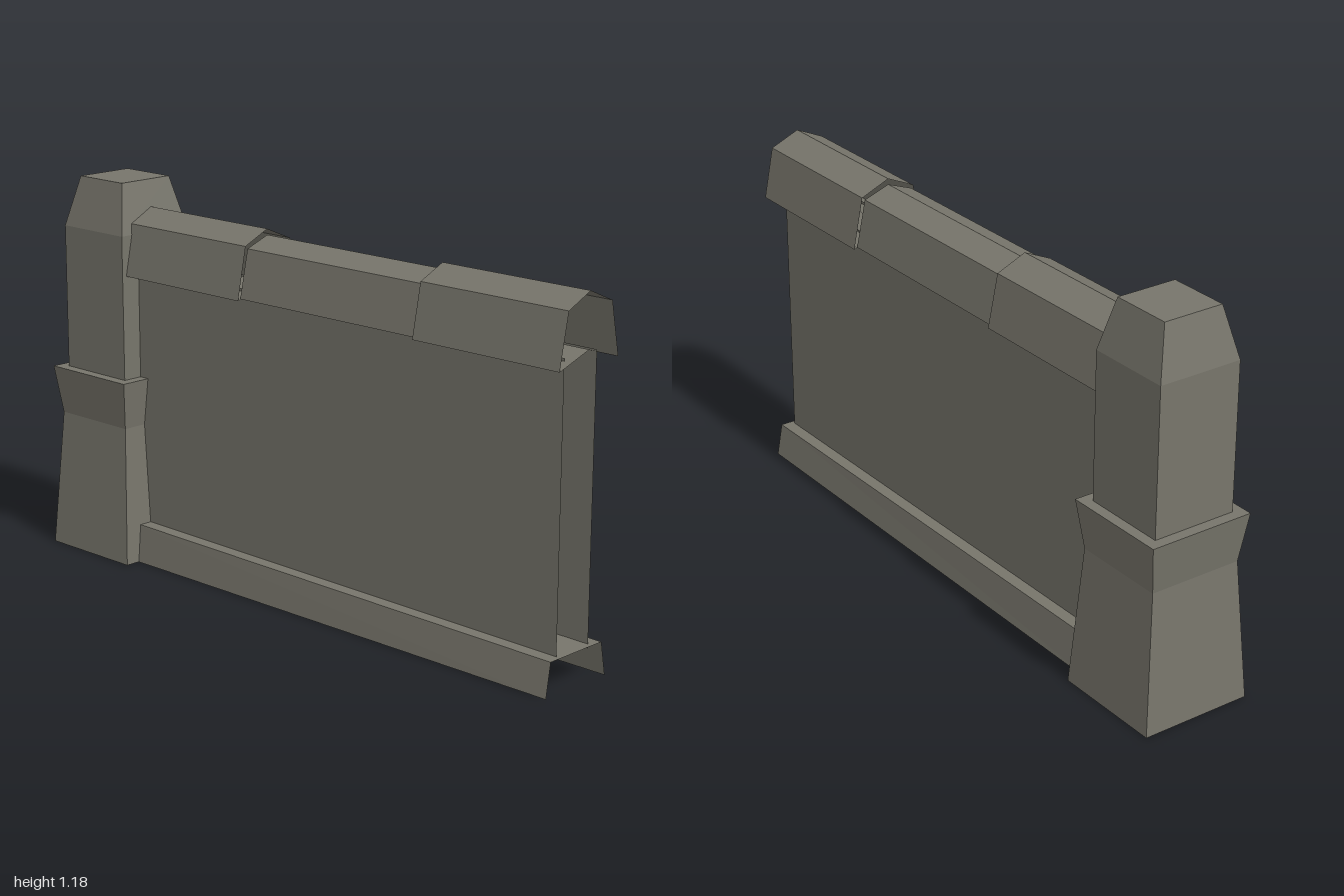
import * as THREE from 'three';

const stone = new THREE.MeshStandardMaterial({ color: 0x77756b, side: THREE.DoubleSide });
stone.name = 'grey stone';

// Joins cross-sections (lists of [x, y, z]) with quads; closed wraps each section round.
function loft(name, sections, closed, capLast = false) {
  const pos = [];
  const quad = (a, b, c, d) => pos.push(...a, ...b, ...c, ...a, ...c, ...d);
  for (let s = 0; s < sections.length - 1; s++) {
    const A = sections[s], B = sections[s + 1];
    const n = closed ? A.length : A.length - 1;
    for (let i = 0; i < n; i++) {
      const j = (i + 1) % A.length;
      quad(A[i], A[j], B[j], B[i]);
    }
  }
  if (capLast) quad(...sections[sections.length - 1]);
  const geo = new THREE.BufferGeometry();
  geo.setAttribute('position', new THREE.Float32BufferAttribute(pos, 3));
  geo.computeVertexNormals();
  const mesh = new THREE.Mesh(geo, stone);
  mesh.name = name;
  return mesh;
}

// Counter-clockwise square seen from above
const square = (y, h, cx = -0.825) => [
  [cx - h, y, h], [cx + h, y, h], [cx + h, y, -h], [cx - h, y, -h],
];

// Profile of [z, y] points placed at x
const at = (x, profile) => profile.map(([z, y]) => [x, y, z]);

export function createModel() {
  const group = new THREE.Group();
  group.name = 'wallSection';

  // Pillar: flared foot, ledge, shaft and tapered top, open underneath
  group.add(loft('pillar', [
    square(0, 0.175), square(0.43, 0.147), square(0.58, 0.167),
    square(0.58, 0.133), square(1.03, 0.133), square(1.185, 0.096),
  ], true, true));

  // Wall: two facing panels, open at the end
  for (const [name, z, side] of [['wallFront', 0.068, 1], ['wallBack', -0.068, -1]]) {
    const panel = [[z, 0.09], [z, 0.93]];
    const ends = [at(-0.72, panel), at(0.975, panel)];
    if (side > 0) ends.reverse();
    group.add(loft(name, ends, false));
  }

  // Plinth: open channel with sloping sides, dropping slightly towards the end
  const plinth = (y) => [[-0.127, 0], [-0.108, y], [0.11, y], [0.127, 0]];
  group.add(loft('plinth', [at(-0.72, plinth(0.117)), at(0.99, plinth(0.102))], false));

  // Coping stones: hollow gabled tubes with a V-shaped underside
  const large = [[-0.128, 0.905], [-0.096, 1.063], [-0.003, 1.103],
    [0.086, 1.063], [0.118, 0.905], [-0.003, 0.945]];
  const small = [[-0.118, 0.91], [-0.087, 1.055], [-0.003, 1.085],
    [0.078, 1.055], [0.109, 0.91], [-0.003, 0.945]];
  [[-0.71, -0.2, large], [-0.2, 0.485, small], [0.485, 1, large]].forEach(([x0, x1, p], i) => {
    group.add(loft('coping' + (i + 1), [at(x0, p), at(x1, p)], true));
  });

  return group;
}
